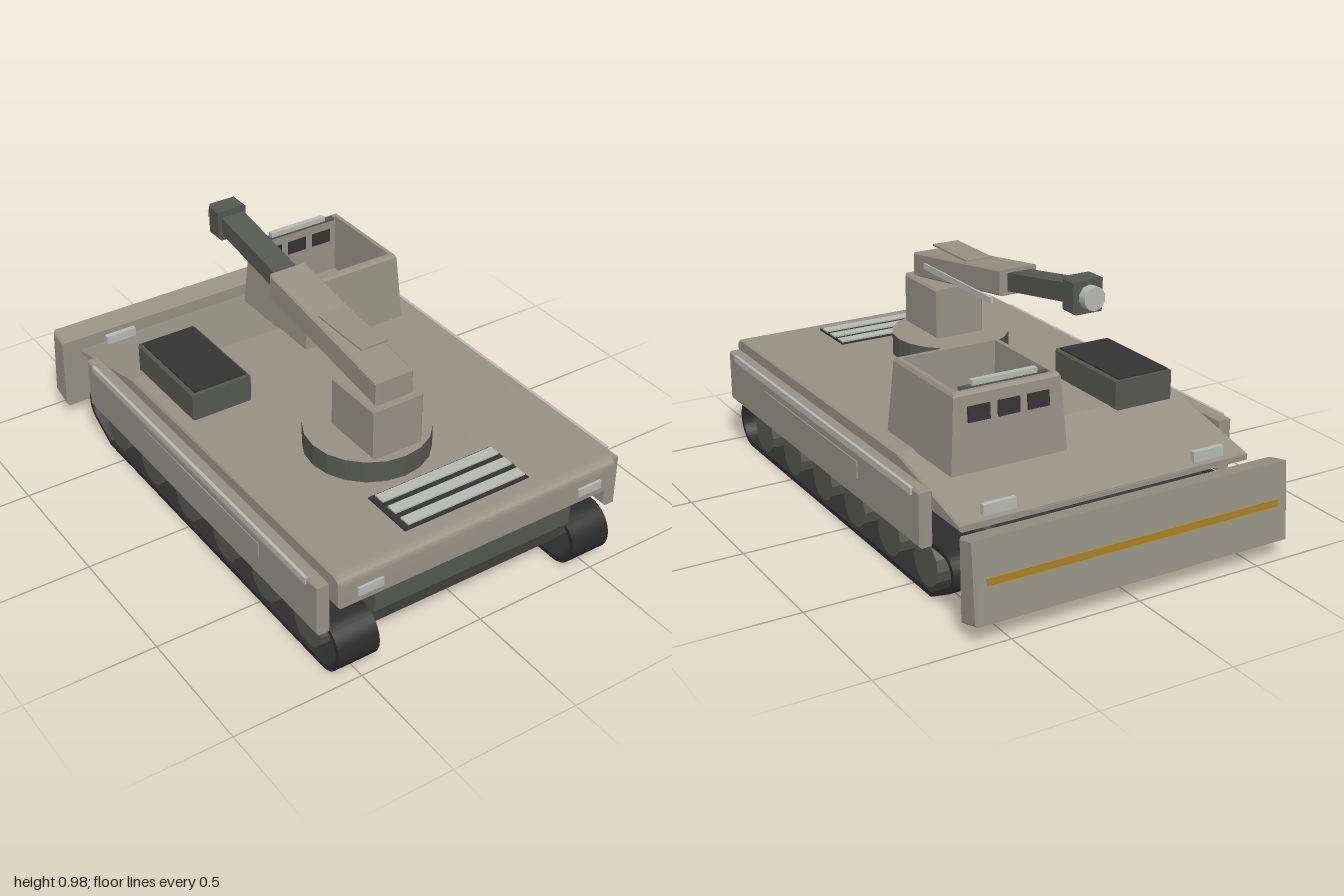
import * as THREE from 'three';
import { toCreasedNormals } from 'three/addons/utils/BufferGeometryUtils.js';

const mat = (name, color) => {
  const m = new THREE.MeshStandardMaterial({ color });
  m.name = name;
  return m;
};

export function createModel() {
  const model = new THREE.Group();
  model.name = 'trackedVehicle';
  const paint = mat('olive grey paint', 0x959184);
  const dark = mat('dark metal', 0x555751);
  const black = mat('black panel', 0x343434);
  const rubber = mat('track rubber', 0x2c2c2c);
  const light = mat('pale grey trim', 0xb6b8b2);
  const yellow = mat('yellow stripe', 0xb08620);

  const add = (name, geo, material, x = 0, y = 0, z = 0) => {
    const mesh = new THREE.Mesh(geo, material);
    mesh.name = name;
    mesh.position.set(x, y, z);
    model.add(mesh);
    return mesh;
  };

  // box given by its limits on each axis
  const box = (name, material, [x0, x1], [y0, y1], [z0, z1]) =>
    add(name, new THREE.BoxGeometry(x1 - x0, y1 - y0, z1 - z0), material,
      (x0 + x1) / 2, (y0 + y1) / 2, (z0 + z1) / 2);

  // side profile in (z, y) extruded between two x limits, with chamfered ends
  const prism = (name, material, outline, x0, x1, bevel = 0) => {
    const shape = Array.isArray(outline)
      ? new THREE.Shape(outline.map(([z, y]) => new THREE.Vector2(z, y))) : outline;
    const geo = new THREE.ExtrudeGeometry(shape, {
      depth: x1 - x0 - 2 * bevel, bevelEnabled: bevel > 0, bevelSize: bevel,
      bevelThickness: bevel, bevelOffset: -bevel, bevelSegments: 1, curveSegments: 10,
    });
    geo.rotateY(-Math.PI / 2);
    return add(name, toCreasedNormals(geo, 0.2), material, x1 - bevel);
  };
  const rect = (z0, z1, y0, y1) => [[z0, y0], [z1, y0], [z1, y1], [z0, y1]];

  // hull with a rounded front edge and sloping rear deck
  const hull = new THREE.Shape();
  hull.moveTo(-0.82, 0.745);
  hull.lineTo(0.985, 0.745);
  hull.lineTo(0.985, 0.835);
  hull.quadraticCurveTo(0.985, 0.866, 0.94, 0.866);
  hull.lineTo(-0.39, 0.866);
  hull.lineTo(-0.82, 0.768);
  hull.closePath();
  prism('upperHull', paint, hull, -0.585, 0.585, 0.006);
  prism('lowerHull', dark, [[-0.66, 0.519], [0.89, 0.519], [0.95, 0.63], [0.955, 0.75], [-0.79, 0.75]], -0.42, 0.42);
  box('rearPlate', paint, [-0.32, 0.32], [0.75, 0.765], [-0.826, -0.818]);

  // track outline, shrunk by t for the inner edge
  const trackLoop = (t) => {
    const path = new THREE.Path();
    path.absarc(0.885, 0.528, 0.102 - t, Math.PI / 2, -Math.PI / 2, true);
    path.lineTo(-0.62, 0.426 + t);
    path.absarc(-0.7, 0.555, 0.077 - t, Math.PI * 1.31, Math.PI / 2, true);
    path.closePath();
    return path.getPoints(20);
  };

  for (const s of [-1, 1]) {
    const side = s > 0 ? 'left' : 'right';
    const span = (a, b) => (s > 0 ? [a, b] : [-b, -a]);

    // running gear
    const band = new THREE.Shape(trackLoop(0).reverse());
    band.holes.push(new THREE.Path(trackLoop(0.018)));
    prism(side + 'Track', rubber, band, ...span(0.42, 0.585));
    for (let i = 0; i < 6; i++) {
      const wheel = new THREE.CylinderGeometry(0.083, 0.083, 0.14, 12);
      wheel.rotateZ(Math.PI / 2);
      const mesh = add(side + 'RoadWheel', wheel.toNonIndexed(), dark, s * 0.503, 0.523, 0.78 - i * 0.269);
      mesh.geometry.computeVertexNormals();
    }

    // skirt with trim rail and access panel
    prism(side + 'Skirt', paint, rect(-0.65, 0.945, 0.63, 0.83), ...span(0.59, 0.64), 0.006);
    box(side + 'TrimRail', light, span(0.634, 0.646), [0.806, 0.832], [-0.6, 0.88]);
    box(side + 'AccessPanel', paint, span(0.636, 0.645), [0.71, 0.775], [-0.2, 0.59]);

    // lamps and blade arm
    box(side + 'FrontLamp', light, span(0.413, 0.515), [0.775, 0.807], [0.975, 0.995]);
    box(side + 'RearLamp', light, span(0.36, 0.487), [0.765, 0.812], [-0.8, -0.78]);
    box(side + 'BladeArm', dark, span(0.385, 0.445), [0.625, 0.692], [-0.92, -0.68]);
  }

  // dozer blade
  prism('blade', paint, [[-0.898, 0.47], [-1, 0.5], [-0.975, 0.792], [-0.888, 0.772]], -0.63, 0.63, 0.008);
  const stripe = box('bladeStripe', yellow, [-0.585, 0.585], [0.629, 0.659], [-0.99, -0.981]);
  stripe.rotation.x = -0.085;

  // turntable with painted top, and pedestal
  const ring = new THREE.CylinderGeometry(0.23, 0.23, 0.09, 20);
  const ringFlat = ring.toNonIndexed();
  ringFlat.computeVertexNormals();
  add('turntable', ringFlat, [dark, paint, dark], -0.085, 0.905, 0.425);
  prism('pedestal', paint, rect(0.35, 0.615, 0.945, 1.146), -0.19, 0.015, 0.008);

  // telescopic boom
  prism('boom', paint, [[0.585, 1.14], [0.585, 1.235], [-0.08, 1.335], [-0.08, 1.237]], -0.165, -0.01, 0.006);
  box('boomCover', paint, [-0.14, -0.03], [1.29, 1.297], [0.2, 0.46]);
  box('boomRail', light, [-0.014, -0.003], [1.193, 1.217], [-0.02, 0.49]);
  prism('innerBoom', dark, [[-0.05, 1.247], [-0.05, 1.316], [-0.47, 1.388], [-0.47, 1.318]], -0.135, -0.04);
  prism('boomHead', dark, rect(-0.535, -0.455, 1.29, 1.41), -0.147, -0.027, 0.008);
  const nozzle = new THREE.CylinderGeometry(0.043, 0.043, 0.045, 10);
  nozzle.rotateX(Math.PI / 2);
  add('nozzle', nozzle, light, -0.087, 1.35, -0.549);

  // open cab: tapered outside, rim, hollow inside and floor
  const profile = [[0.226, 0.86], [0.207, 1.128], [0.2, 1.14], [0.184, 1.14], [0.184, 0.9], [0, 0.9]]
    .map(([half, y]) => new THREE.Vector2(half * Math.SQRT2, y));
  const cab = new THREE.LatheGeometry(profile, 4, Math.PI / 4).toNonIndexed();
  cab.computeVertexNormals();
  add('cab', cab, paint, 0.294, 0, -0.425);
  for (let i = -1; i <= 1; i++) {
    const x = 0.294 + i * 0.115;
    const outer = box('cabWindow', black, [x - 0.042, x + 0.042], [1.035, 1.09], [-0.644, -0.636]);
    outer.rotation.x = 0.07;
    box('cabWindowInside', black, [x - 0.042, x + 0.042], [1.035, 1.09], [-0.611, -0.605]);
  }
  box('cabLightBarMount', dark, [0.125, 0.46], [1.136, 1.147], [-0.609, -0.59]);
  box('cabLightBar', light, [0.165, 0.415], [1.146, 1.165], [-0.609, -0.587]);

  // deck box with dark lid
  prism('deckBox', dark, rect(-0.44, -0.03, 0.86, 0.973), -0.525, -0.28, 0.006);
  box('deckBoxLid', black, [-0.51, -0.293], [0.971, 0.979], [-0.43, -0.045]);

  // ventilation grille
  box('grilleBase', black, [-0.265, 0.26], [0.86, 0.872], [0.69, 0.9]);
  for (let i = 0; i < 3; i++) {
    const z = 0.72 + i * 0.072;
    box('grilleSlat', light, [-0.242, 0.255], [0.87, 0.878], [z - 0.022, z + 0.022]);
  }
  return model;
}
